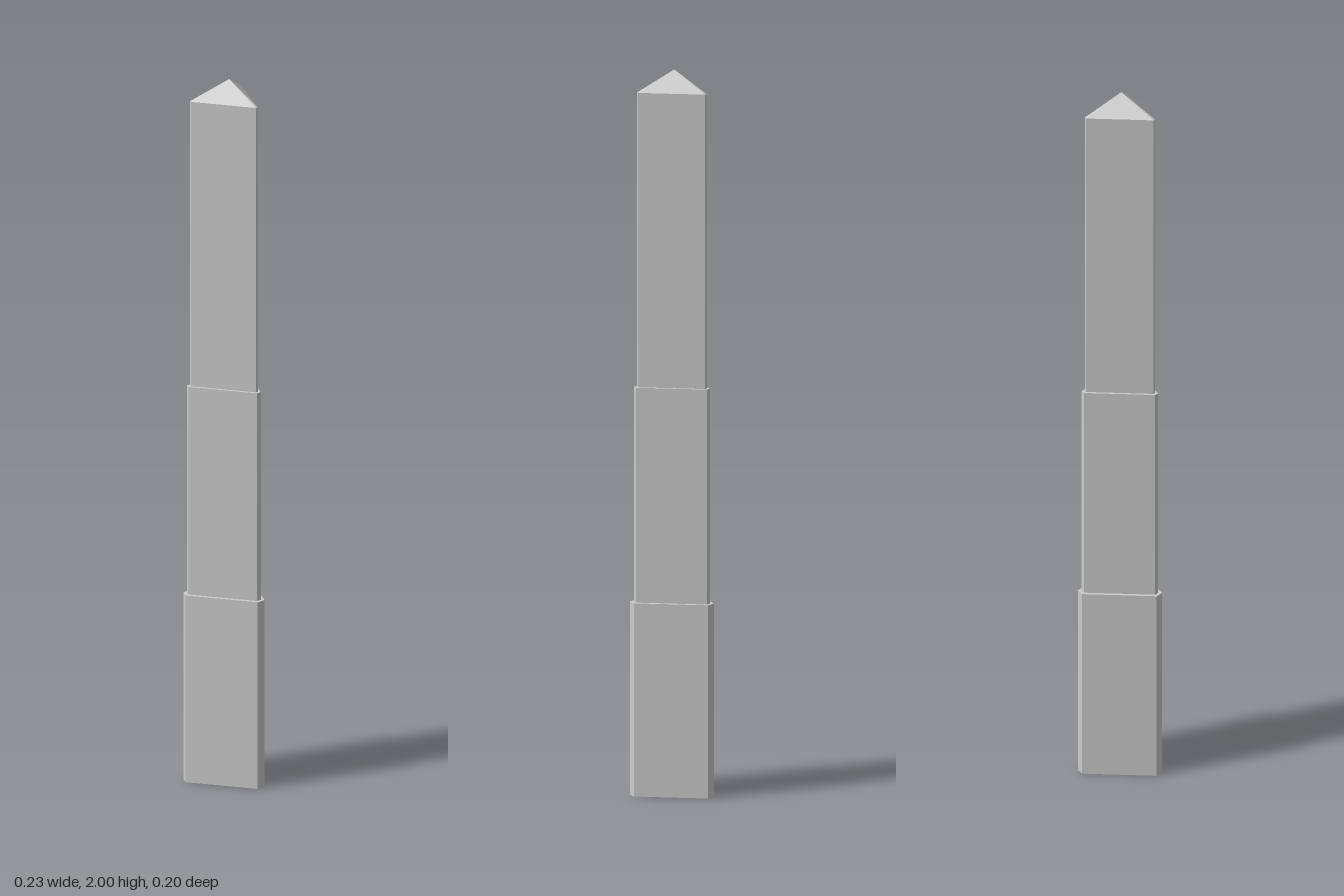
import * as THREE from 'three';

const material = new THREE.MeshStandardMaterial({ color: 0xcccccc, flatShading: true });
const CENTRE_Z = 0.0248;

// Triangle with clipped corners: d = centre to long side, e = centre to clipped corner
function outline(d, e) {
  const w = (2 * d - e) / Math.sqrt(3); // half width of a clipped corner
  const points = [];
  for (let i = 0; i < 3; i++) {
    const turn = (i * 2 * Math.PI) / 3;
    for (const x of [w, -w]) {
      points.push(new THREE.Vector2(x, e).rotateAround(new THREE.Vector2(), turn));
    }
  }
  return points;
}

// Upright prism between two heights
function tier(name, d, e, y0, y1) {
  const geometry = new THREE.ExtrudeGeometry(new THREE.Shape(outline(d, e)), {
    depth: y1 - y0,
    bevelEnabled: false,
  });
  geometry.rotateX(-Math.PI / 2).translate(0, y0, CENTRE_Z);
  const mesh = new THREE.Mesh(geometry, material);
  mesh.name = name;
  return mesh;
}

// Pointed cap: a fan of faces from the rim up to the apex
function pointedCap(d, e, y0, y1) {
  const rim = outline(d, e);
  const positions = [];
  rim.forEach((a, i) => {
    const b = rim[(i + 1) % rim.length];
    positions.push(a.x, y0, -a.y, b.x, y0, -b.y, 0, y1, 0);
  });
  const geometry = new THREE.BufferGeometry();
  geometry.setAttribute('position', new THREE.Float32BufferAttribute(positions, 3));
  geometry.translate(0, 0, CENTRE_Z);
  geometry.computeVertexNormals();
  const mesh = new THREE.Mesh(geometry, material);
  mesh.name = 'pointedCap';
  return mesh;
}

export function createModel() {
  const group = new THREE.Group();
  group.name = 'steppedObelisk';
  group.add(
    tier('lowerShaft', 0.0738, 0.1245, 0, 0.535),
    tier('middleShaft', 0.064, 0.1155, 0.535, 1.13),
    tier('upperShaft', 0.057, 0.1075, 1.13, 1.945),
    pointedCap(0.057, 0.1075, 1.945, 2),
  );
  return group;
}
